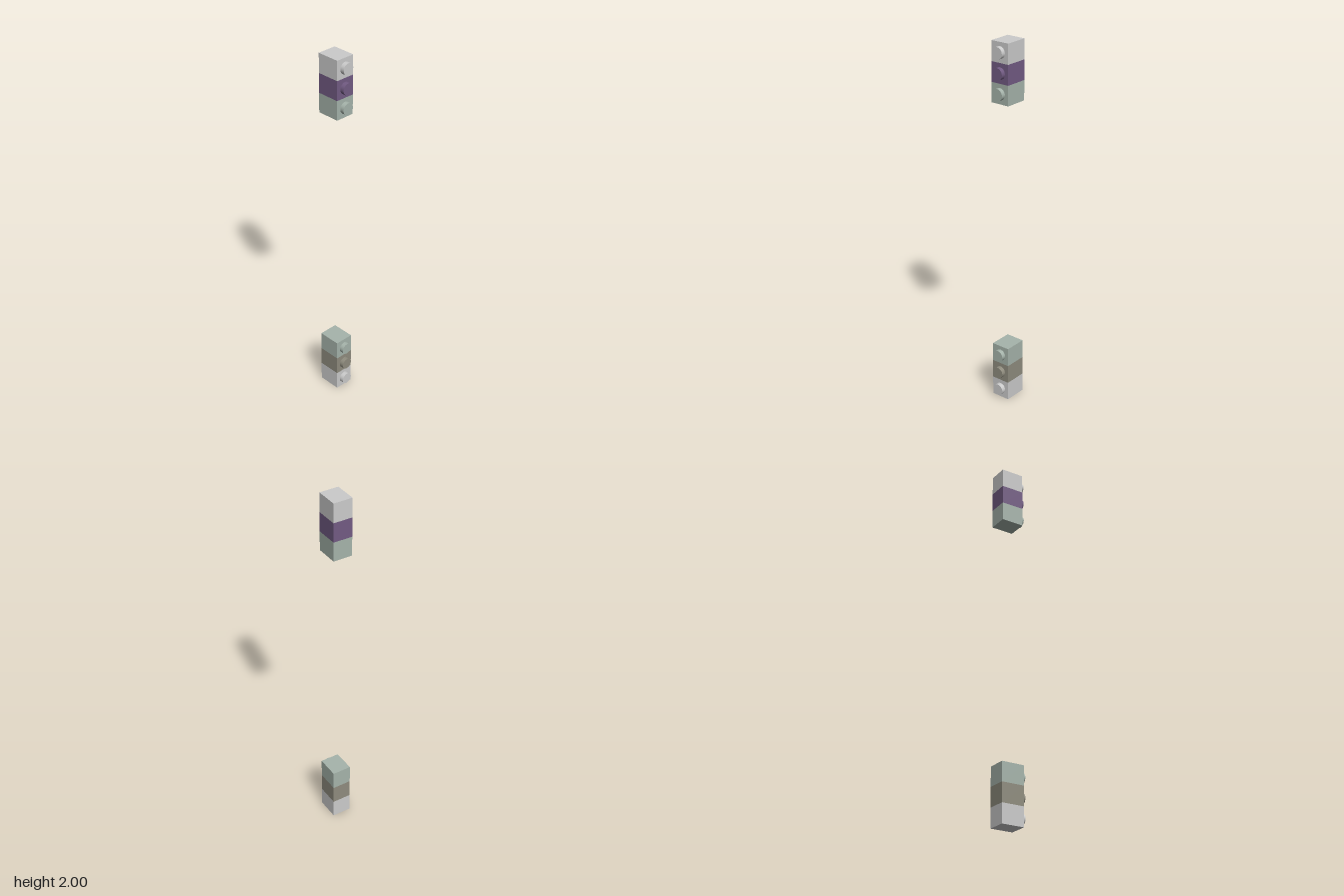
import * as THREE from 'three';

export function createModel() {
  const model = new THREE.Group();
  const unit = 2 / 19; // brick width and height
  const depth = 0.126, studDepth = 0.023, studRadius = 0.0315;
  const back = -(depth + studDepth) / 2;

  const bodyShape = new THREE.BoxGeometry(unit, unit, depth);
  const studShape = new THREE.CylinderGeometry(studRadius, studRadius, studDepth, 32).rotateX(Math.PI / 2);
  const material = (color) => new THREE.MeshStandardMaterial({ color });
  const grey = material(0xcccccc), sage = material(0xa6b4ab);
  const taupe = material(0x8f8c7e), purple = material(0x725b83);

  // One block with a round stud on its front
  function addBrick(stack, row, mat) {
    const brick = new THREE.Group();
    brick.name = 'brick';
    const body = new THREE.Mesh(bodyShape, mat);
    body.name = 'brickBody';
    body.position.z = back + depth / 2;
    const stud = new THREE.Mesh(studShape, mat);
    stud.name = 'stud';
    stud.position.z = back + depth + studDepth / 2;
    brick.add(body, stud);
    brick.position.y = (row + 0.5) * unit;
    stack.add(brick);
  }

  // Two stacks of three bricks, listed from the bottom up
  const stacks = [
    ['lowerStack', 0, [grey, taupe, sage]],
    ['upperStack', 16, [sage, purple, grey]],
  ];
  for (const [name, firstRow, mats] of stacks) {
    const stack = new THREE.Group();
    stack.name = name;
    mats.forEach((mat, i) => addBrick(stack, firstRow + i, mat));
    model.add(stack);
  }
  return model;
}
